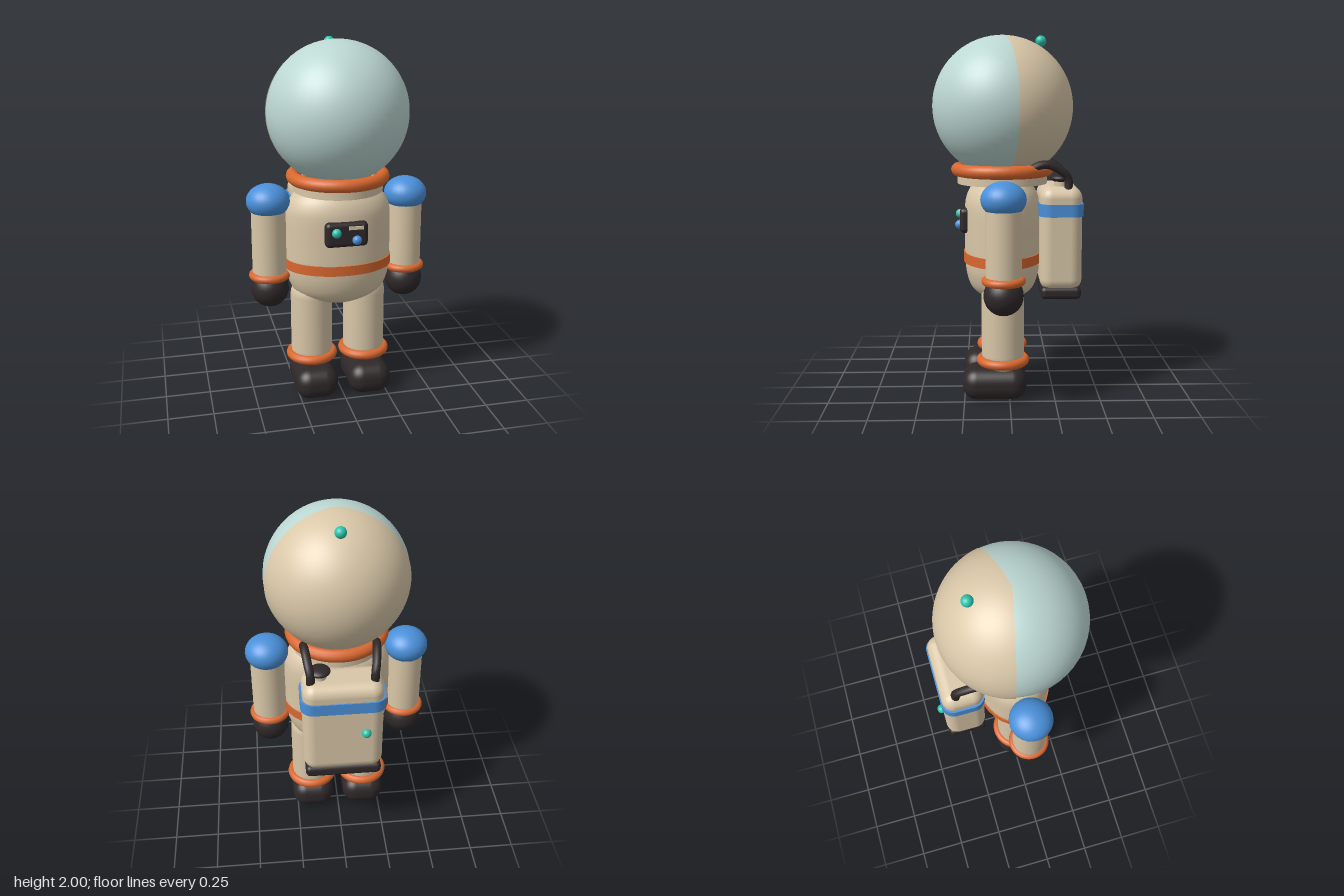
import * as THREE from 'three';
import { RoundedBoxGeometry } from 'three/addons/geometries/RoundedBoxGeometry.js';

const material = (name, color, side = THREE.FrontSide) => {
  const m = new THREE.MeshStandardMaterial({ color, side });
  m.name = name;
  return m;
};

export function createModel() {
  const model = new THREE.Group();
  model.name = 'astronaut';
  const suit = material('suitBeige', 0xd9c7a8, THREE.DoubleSide);
  const glass = material('visorGlass', 0xbcd7d2);
  const orange = material('trimOrange', 0xd9682f);
  const blue = material('trimBlue', 0x4a90d9);
  const dark = material('rubberDark', 0x2f2829);
  const teal = material('lightTeal', 0x2ec4ae);
  const Z = 0.037; // body axis

  const add = (name, geometry, mat, x, y, z) => {
    const mesh = new THREE.Mesh(geometry, mat);
    mesh.name = name;
    mesh.position.set(x, y, z);
    model.add(mesh);
    return mesh;
  };
  const ball = (r, ry = r) => new THREE.SphereGeometry(r, 28, 20).scale(1, ry / r, 1);
  const tube = (r, h) => new THREE.CylinderGeometry(r, r, h, 32);
  const ring = (r, t) => new THREE.TorusGeometry(r, t, 12, 40).rotateX(Math.PI / 2);
  const box = (w, h, d, r) => new RoundedBoxGeometry(w, h, d, 5, r);

  // Helmet: glass globe with a back shell and a small beacon
  add('visorGlobe', new THREE.SphereGeometry(0.386, 48, 36), glass, 0, 1.612, Z);
  add('helmetShell', new THREE.SphereGeometry(0.391, 36, 36, Math.PI + 0.22, Math.PI - 0.44),
    suit, 0, 1.607, Z);
  add('helmetBeacon', ball(0.03), teal, 0, 1.965, -0.175);

  // Collar
  add('collarRing', ring(0.25, 0.036), orange, 0, 1.265, Z);
  add('neckRing', tube(0.25, 0.055), suit, 0, 1.215, Z);

  // Torso, rounded and flattened front to back
  const profile = new THREE.SplineCurve([
    [0.001, 0.53], [0.09, 0.533], [0.17, 0.56], [0.245, 0.605], [0.283, 0.68], [0.296, 0.77],
    [0.297, 0.9], [0.296, 1.04], [0.284, 1.11], [0.25, 1.165], [0.2, 1.195], [0.001, 1.2],
  ].map(([x, y]) => new THREE.Vector2(x, y)));
  add('torso', new THREE.LatheGeometry(profile.getPoints(44), 40).scale(1, 1, 0.71), suit, 0, 0, Z);
  add('belt', tube(0.303, 0.055).scale(1, 1, 0.72), orange, 0, 0.778, Z);

  // Chest panel
  add('chestPanel', box(0.235, 0.138, 0.06, 0.025), dark, 0, 0.988, 0.243);
  add('panelLight', ball(0.026), teal, -0.06, 1.005, 0.275);
  add('panelButton', ball(0.026), blue, 0.052, 0.96, 0.275);
  add('panelBar', new THREE.BoxGeometry(0.08, 0.018, 0.009), suit, 0.047, 1.029, 0.275);

  // Limbs, mirrored
  for (const [side, s] of [['left', 1], ['right', -1]]) {
    const ax = 0.39 * s;
    const lx = 0.154 * s;
    add(side + 'Arm', tube(0.095, 0.45), suit, ax, 0.92, Z);
    add(side + 'Shoulder', ball(0.12, 0.095), blue, ax, 1.141, Z);
    add(side + 'Cuff', ring(0.094, 0.022), orange, ax, 0.714, Z);
    add(side + 'Glove', ball(0.106), dark, ax, 0.634, Z);
    add(side + 'Leg', new THREE.CapsuleGeometry(0.118, 0.33, 10, 32), suit, lx, 0.415, Z);
    add(side + 'AnkleRing', ring(0.121, 0.026), orange, lx, 0.213, Z);
    add(side + 'Boot', box(0.245, 0.177, 0.355, 0.08), dark, lx, 0.0885, 0.083);

    // Air hose from pack to collar
    const path = new THREE.CatmullRomCurve3([
      [0.17, 1.14, -0.315], [0.17, 1.225, -0.318], [0.178, 1.262, -0.29],
      [0.19, 1.305, -0.2], [0.195, 1.292, -0.14], [0.19, 1.27, -0.11],
    ].map(([x, y, z]) => new THREE.Vector3(x * s, y, z)));
    add(side + 'Hose', new THREE.TubeGeometry(path, 16, 0.023, 10), dark, 0, 0, 0);
  }

  // Backpack
  add('backpack', box(0.435, 0.575, 0.232, 0.065), suit, 0, 0.895, -0.281);
  add('backpackBase', box(0.42, 0.07, 0.222, 0.026), dark, 0, 0.598, -0.281);

  // Band: extruded rounded rectangle around the pack
  const w = 0.229, d = 0.122, r = 0.07;
  const outline = new THREE.Shape();
  outline.absarc(w - r, d - r, r, 0, Math.PI / 2);
  outline.absarc(r - w, d - r, r, Math.PI / 2, Math.PI);
  outline.absarc(r - w, r - d, r, Math.PI, Math.PI * 1.5);
  outline.absarc(w - r, r - d, r, Math.PI * 1.5, Math.PI * 2);
  const band = new THREE.ExtrudeGeometry(outline, { depth: 0.068, bevelEnabled: false, curveSegments: 8 });
  add('backpackBand', band.rotateX(-Math.PI / 2), blue, 0, 1.022, -0.282);

  // Valve and status light
  add('valveNeck', tube(0.036, 0.07), suit, 0.12, 1.19, -0.28);
  add('valveCap', ball(0.058, 0.022), dark, 0.12, 1.225, -0.28);
  add('packLight', ball(0.026), teal, -0.12, 0.88, -0.402);

  return model;
}
